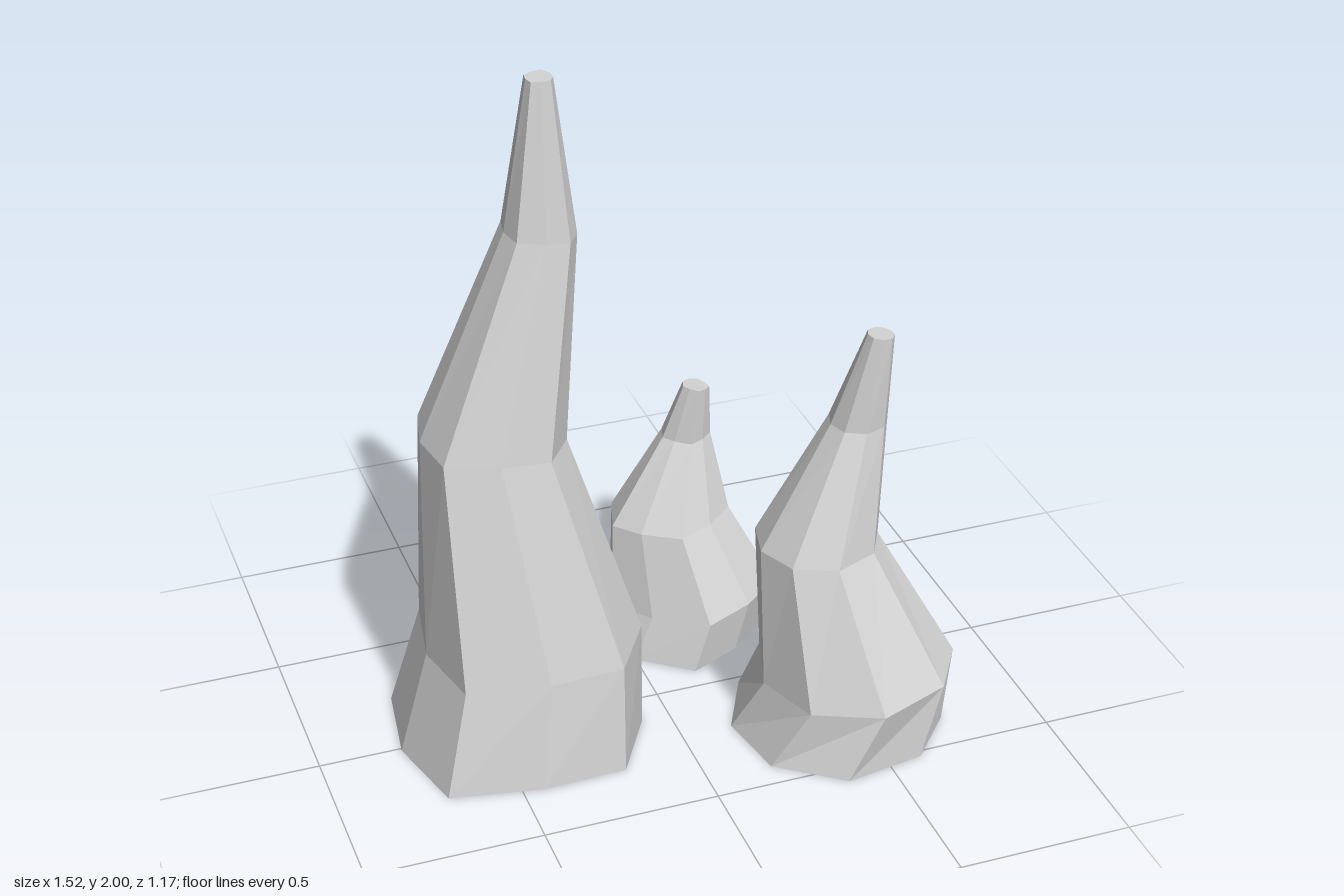
import * as THREE from 'three';

const stone = new THREE.MeshStandardMaterial({ color: 0xd4d4d4, flatShading: true });
stone.name = 'pale stone';

// columns: nine [x, z] directions shared by every ring of a spire
// rings: [centre x, y, centre z, radius, twist in degrees, tilt along x, tilt along z]
const spires = [
  {
    name: 'tallSpire',
    columns: [[-0.96, 0.08], [-0.78, 0.78], [-0.05, 0.92], [0.61, 0.9], [0.94, 0.34],
      [0.94, -0.34], [0.5, -1.05], [-0.22, -0.94], [-0.86, -0.61]],
    rings: [[-0.42, 0, -0.02, 0.36], [-0.377, 0.32, -0.01, 0.315, -2, 0.04],
      [-0.463, 0.96, -0.03, 0.205, -5, -0.05], [-0.325, 1.56, 0, 0.1, -3, -0.1],
      [-0.325, 2, 0.027, 0.037]],
  },
  {
    name: 'middleSpire',
    columns: [[-0.94, -0.06], [-0.77, 0.61], [-0.17, 1], [0.56, 0.83], [0.94, 0.34],
      [0.96, -0.31], [0.48, -0.95], [-0.03, -1.03], [-0.68, -0.68]],
    rings: [[0.44, 0, 0.252, 0.313, -4], [0.482, 0.205, 0.288, 0.287, 5, 0.06],
      [0.38, 0.6, 0.23, 0.177, 9], [0.49, 0.96, 0.235, 0.083, 5],
      [0.528, 1.24, 0.28, 0.038, 0, -0.1]],
  },
  {
    name: 'smallSpire',
    columns: [[-0.96, 0.08], [-0.62, 0.56], [-0.06, 1], [0.52, 0.74], [1, 0.33],
      [0.86, -0.31], [0.56, -0.93], [-0.15, -1], [-0.73, -0.65]],
    rings: [[0.16, 0, -0.33, 0.26], [0.205, 0.135, -0.32, 0.25, 0, 0.04, 0.06],
      [0.152, 0.385, -0.352, 0.176, 0, 0.05, 0.06], [0.22, 0.625, -0.38, 0.072],
      [0.242, 0.795, -0.352, 0.039, 0, -0.12]],
  },
];

function spireGeometry(columns, rings) {
  const n = columns.length;
  const points = [];
  const faces = [];
  for (const [cx, cy, cz, r, twist = 0, tiltX = 0, tiltZ = 0] of rings) {
    const cos = Math.cos(THREE.MathUtils.degToRad(twist));
    const sin = Math.sin(THREE.MathUtils.degToRad(twist));
    for (const [dx, dz] of columns) {
      const x = (dx * cos + dz * sin) * r;
      const z = (dz * cos - dx * sin) * r;
      points.push(cx + x, cy + x * tiltX + z * tiltZ, cz + z);
    }
  }
  // Sides
  for (let i = 0; i < rings.length - 1; i++) {
    for (let j = 0; j < n; j++) {
      const a = i * n + j;
      const b = i * n + (j + 1) % n;
      faces.push(a, b, b + n, a, b + n, a + n);
    }
  }
  // Flat base and blunt tip
  const tip = (rings.length - 1) * n;
  for (let j = 1; j < n - 1; j++) {
    faces.push(0, j + 1, j);
    faces.push(tip, tip + j, tip + j + 1);
  }
  const indexed = new THREE.BufferGeometry();
  indexed.setAttribute('position', new THREE.Float32BufferAttribute(points, 3));
  indexed.setIndex(faces);
  const geometry = indexed.toNonIndexed();
  geometry.computeVertexNormals();
  return geometry;
}

export function createModel() {
  const model = new THREE.Group();
  model.name = 'stalagmites';
  for (const { name, columns, rings } of spires) {
    const mesh = new THREE.Mesh(spireGeometry(columns, rings), stone);
    mesh.name = name;
    model.add(mesh);
  }
  return model;
}
